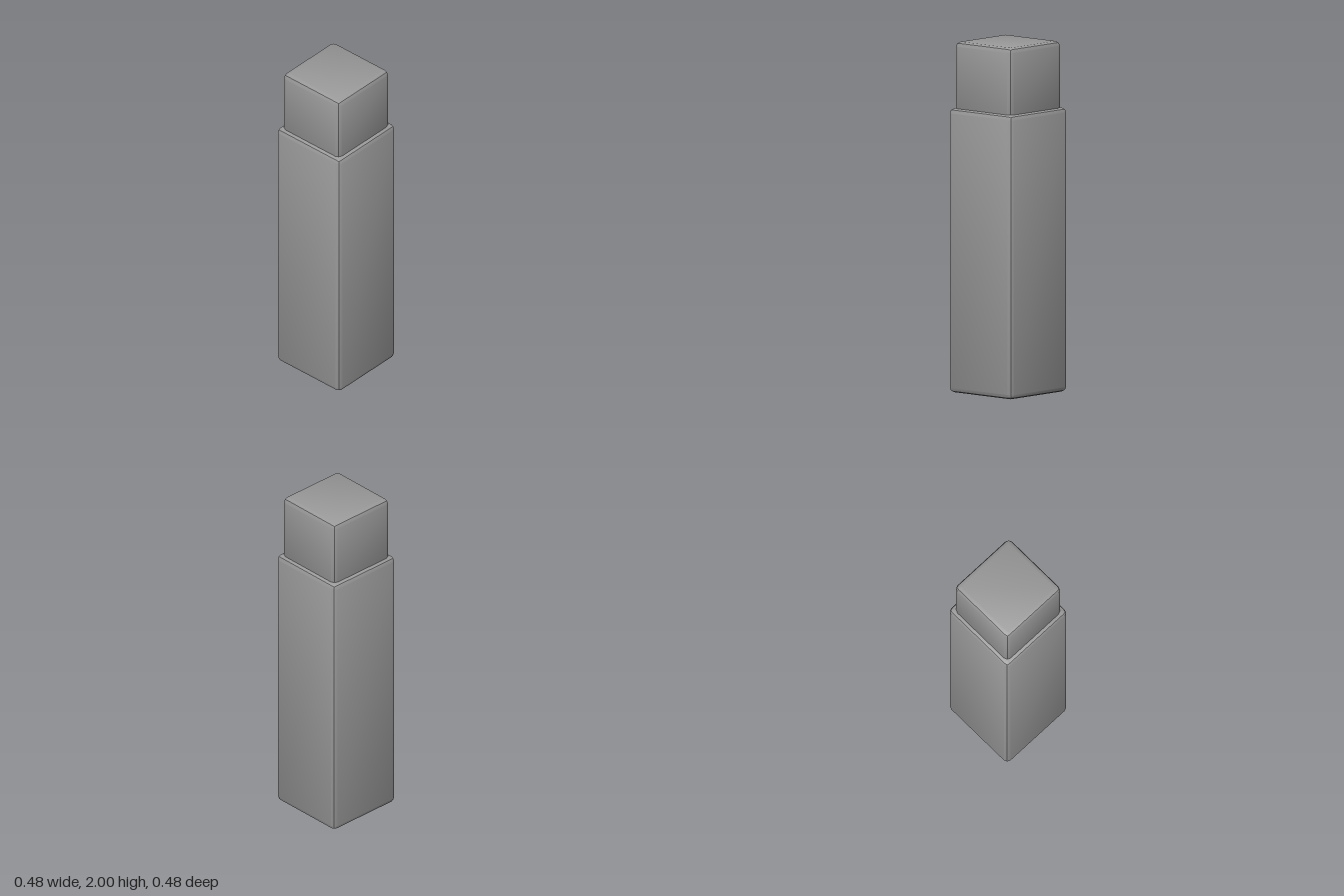
import * as THREE from 'three';
import { RoundedBoxGeometry } from 'three/addons/geometries/RoundedBoxGeometry.js';
import { toCreasedNormals } from 'three/addons/utils/BufferGeometryUtils.js';

const BEVEL = 0.027;

// Square column with two-step bevels, creased along the middle of each bevel
function block(name, width, y0, y1, material) {
  const rounded = new RoundedBoxGeometry(width, y1 - y0, width, 1, BEVEL);
  const mesh = new THREE.Mesh(toCreasedNormals(rounded, Math.PI / 6), material);
  mesh.position.y = (y0 + y1) / 2;
  mesh.name = name;
  return mesh;
}

export function createModel() {
  const group = new THREE.Group();
  group.name = 'squareCappedBottle';
  const material = new THREE.MeshStandardMaterial({ color: 0x9a9a9a });

  // Tall body
  group.add(block('body', 0.48, 0, 1.62, material));
  // Narrower cap, seated slightly into the body
  group.add(block('cap', 0.43, 1.58, 2, material));

  return group;
}
